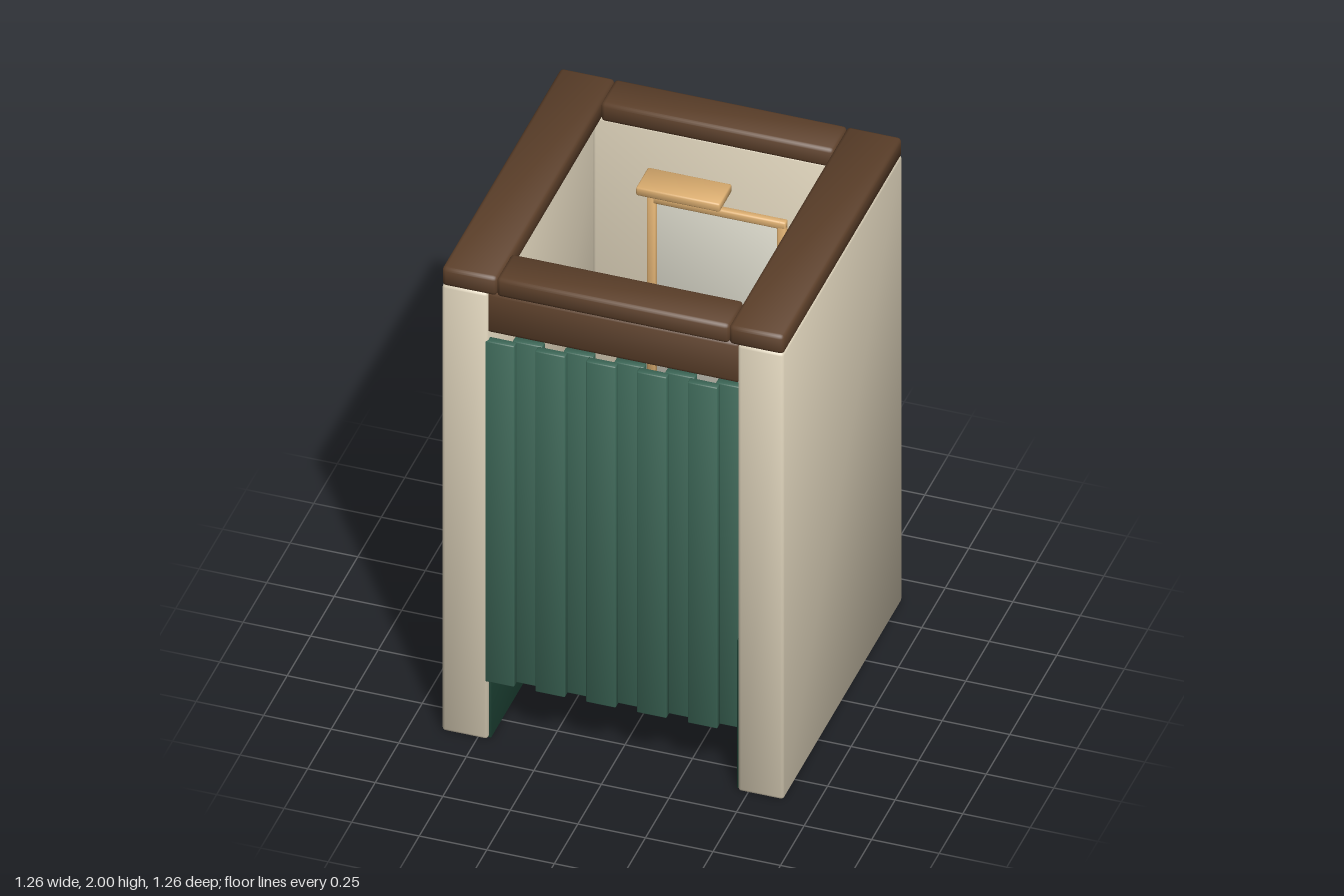
import * as THREE from 'three';
import { RoundedBoxGeometry } from 'three/addons/geometries/RoundedBoxGeometry.js';

const mat = (name, color) => {
  const m = new THREE.MeshStandardMaterial({ color });
  m.name = name;
  return m;
};

// bevelled box whose normals lean towards the corners, for soft smooth shading
function softBox(w, h, d, r) {
  const geometry = new RoundedBoxGeometry(w, h, d, 2, r);
  const { position, normal } = geometry.attributes;
  const p = new THREE.Vector3(), n = new THREE.Vector3();
  for (let i = 0; i < position.count; i++) {
    p.fromBufferAttribute(position, i);
    n.fromBufferAttribute(normal, i);
    p.set(Math.sign(p.x), Math.sign(p.y), Math.sign(p.z));
    n.addScaledVector(p, 0.4).normalize();
    normal.setXYZ(i, n.x, n.y, n.z);
  }
  return geometry;
}

export function createModel() {
  const group = new THREE.Group();
  group.name = 'changingBooth';
  const plaster = mat('cream plaster', 0xdbd0b8);
  const wood = mat('dark wood', 0x5e412b);
  const cloth = mat('curtain green', 0x3d6858);
  const panel = mat('deep green', 0x1e4436);
  const tan = mat('pale wood', 0xdcae70);
  const glass = mat('mirror glass', 0xd8d6c8);

  const add = (name, geometry, material, x, y, z) => {
    const mesh = new THREE.Mesh(geometry, material);
    mesh.name = name;
    mesh.position.set(x, y, z);
    group.add(mesh);
  };
  // box given by its extents on each axis; r is the bevel
  const box = (name, material, [x0, x1], [y0, y1], [z0, z1], r) =>
    add(name, softBox(x1 - x0, y1 - y0, z1 - z0, r), material, (x0 + x1) / 2, (y0 + y1) / 2, (z0 + z1) / 2);
  const span = (s, a, b) => (s > 0 ? [a, b] : [-b, -a]);

  // walls, with green lower panels standing just proud of them
  box('backWall', plaster, [-0.465, 0.465], [0.002, 1.922], [-0.63, -0.49], 0.012);
  box('backLowerPanel', panel, [-0.45, 0.45], [0, 0.64], [-0.632, -0.478], 0.002);
  for (const s of [1, -1]) {
    box('sideWall', plaster, span(s, 0.463, 0.632), [0, 1.925], [-0.632, 0.632], 0.012);
    box('sideLowerPanel', panel, span(s, 0.455, 0.475), [0, 0.64], [-0.6, 0.615], 0.002);
    box('sideCap', wood, span(s, 0.43, 0.632), [1.92, 2], [-0.632, 0.632], 0.015);
  }

  // caps joining the side walls, and the header over the doorway
  box('backCap', wood, [-0.43, 0.43], [1.92, 2], [-0.632, -0.475], 0.015);
  box('frontCap', wood, [-0.43, 0.43], [1.92, 2], [0.47, 0.632], 0.015);
  box('header', wood, [-0.472, 0.467], [1.75, 1.925], [0.49, 0.622], 0.015);

  // curtain of overlapping pleats, alternately forward and back
  for (let i = 0; i < 10; i++) {
    const x = -0.42 + i * 0.094;
    const z = i % 2 ? 0.57 : 0.6;
    box('curtainPleat', cloth, [x - 0.055, Math.min(x + 0.055, 0.467)], [0.25, 1.72], [z, z + 0.031], 0.004);
  }

  // bench
  box('benchSeat', wood, [-0.335, 0.335], [0.44, 0.52], [-0.485, -0.2], 0.012);
  for (const s of [1, -1])
    box('benchLeg', wood, span(s, 0.243, 0.317), [0, 0.45], [-0.485, -0.225], 0.008);

  // ceiling lamp
  box('ceilingLamp', tan, [-0.155, 0.155], [1.95, 1.985], [-0.19, -0.06], 0.006);

  // wall mirror
  box('mirrorGlass', glass, [-0.235, 0.235], [0.8, 1.63], [-0.491, -0.484], 0.001);
  for (const s of [1, -1])
    box('mirrorFrameSide', tan, span(s, 0.225, 0.257), [0.77, 1.65], [-0.495, -0.466], 0.006);
  for (const y of [0.77, 1.618])
    box('mirrorFrameRail', tan, [-0.257, 0.257], [y, y + 0.032], [-0.495, -0.466], 0.006);

  // coat hooks beside the mirror
  for (const s of [1, -1]) {
    const stem = new THREE.CylinderGeometry(0.015, 0.015, 0.05, 16).rotateX(Math.PI / 2);
    add('hookStem', stem, tan, s * 0.36, 1.13, -0.472);
    add('hookRing', new THREE.TorusGeometry(0.034, 0.006, 10, 24), tan, s * 0.36, 1.11, -0.449);
  }
  return group;
}
